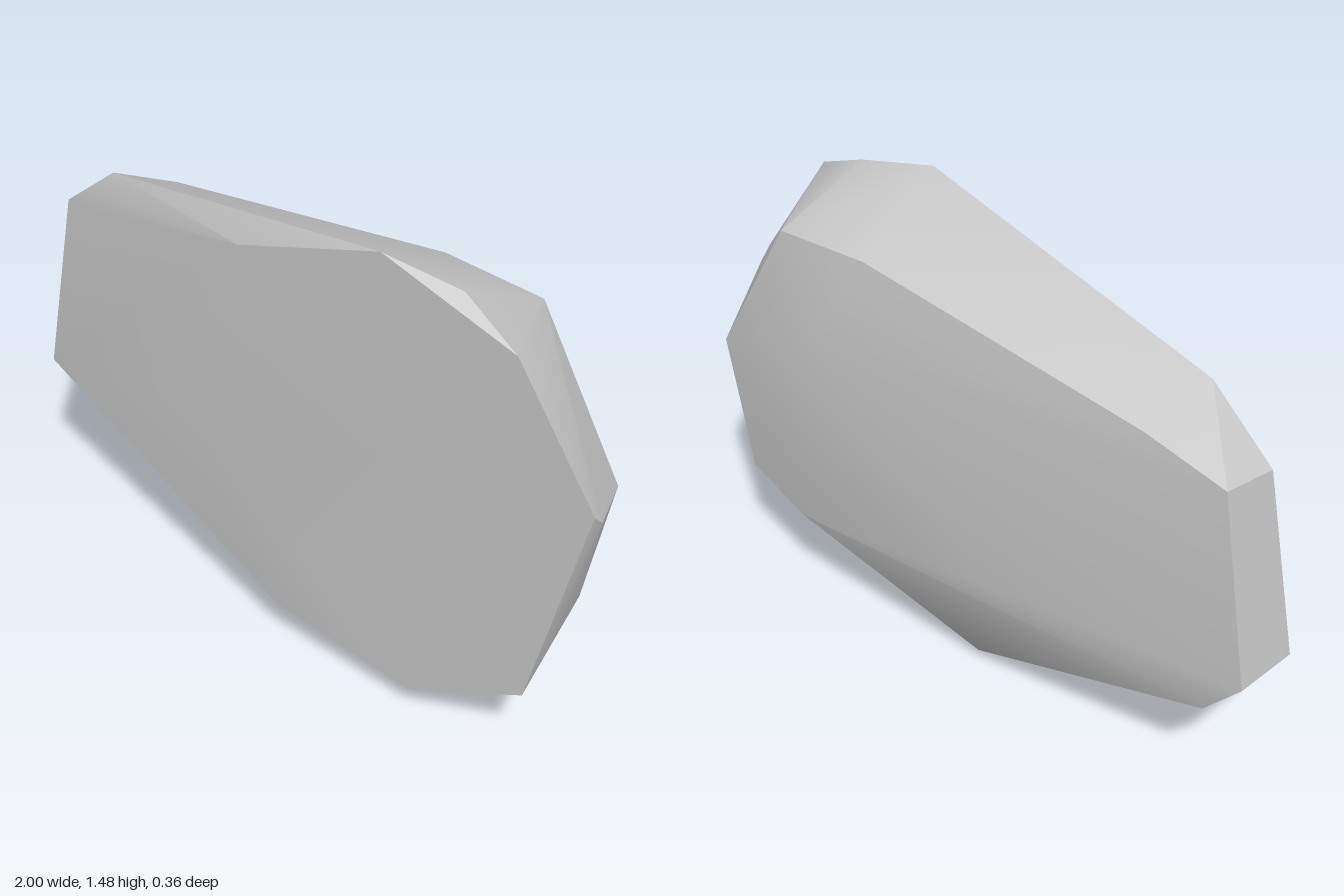
import * as THREE from 'three';
import { toCreasedNormals } from 'three/addons/utils/BufferGeometryUtils.js';
import { ConvexGeometry } from 'three/addons/geometries/ConvexGeometry.js';

export function createModel() {
  const group = new THREE.Group();
  group.name = 'flatRock';
  const stone = new THREE.MeshStandardMaterial({ color: 0xc8c8c8 });
  stone.name = 'light grey stone';

  // corners of the flat front face, all at one depth
  const front = [
    [0.33, 1.475], [0.75, 1.34], [1, 0.97], [0.83, 0.285], [0.46, 0.09],
    [-0.02, 0.15], [-0.36, 0.72], [-0.14, 1.32],
  ].map(([x, y]) => new THREE.Vector3(x, y, 0.18));

  // corners around the thin edge and its chips
  const edge = [
    [-1, 0.54, 0.07], [-0.91, 1.12, 0.04], [-0.7, 1.29, 0.06],
    [0.56, 1.43, 0.14], [1, 0.93, 0.14], [0.02, 0, 0.03], [0, 0.04, -0.02],
  ].map((p) => new THREE.Vector3(...p));

  // rim where the edge meets the back
  const rim = [
    [-0.985, 0.54], [-0.89, 1.14], [-0.635, 1.2], [0.31, 1.32], [0.62, 1.3],
    [0.885, 0.83], [0.8, 0.41], [-0.87, 0.41],
  ].map(([x, y]) => new THREE.Vector3(x, y, -0.13));

  // raised middle of the back
  const back = [[0.55, 0.37], [0.48, 1.04], [-0.1, 0.85], [-0.15, 0.48]]
    .map(([x, y]) => new THREE.Vector3(x, y, -0.18));

  const hull = new ConvexGeometry([...front, ...edge, ...rim, ...back]);
  const rock = new THREE.Mesh(toCreasedNormals(hull, Math.PI / 6), stone);
  rock.name = 'rock';
  group.add(rock);
  return group;
}
